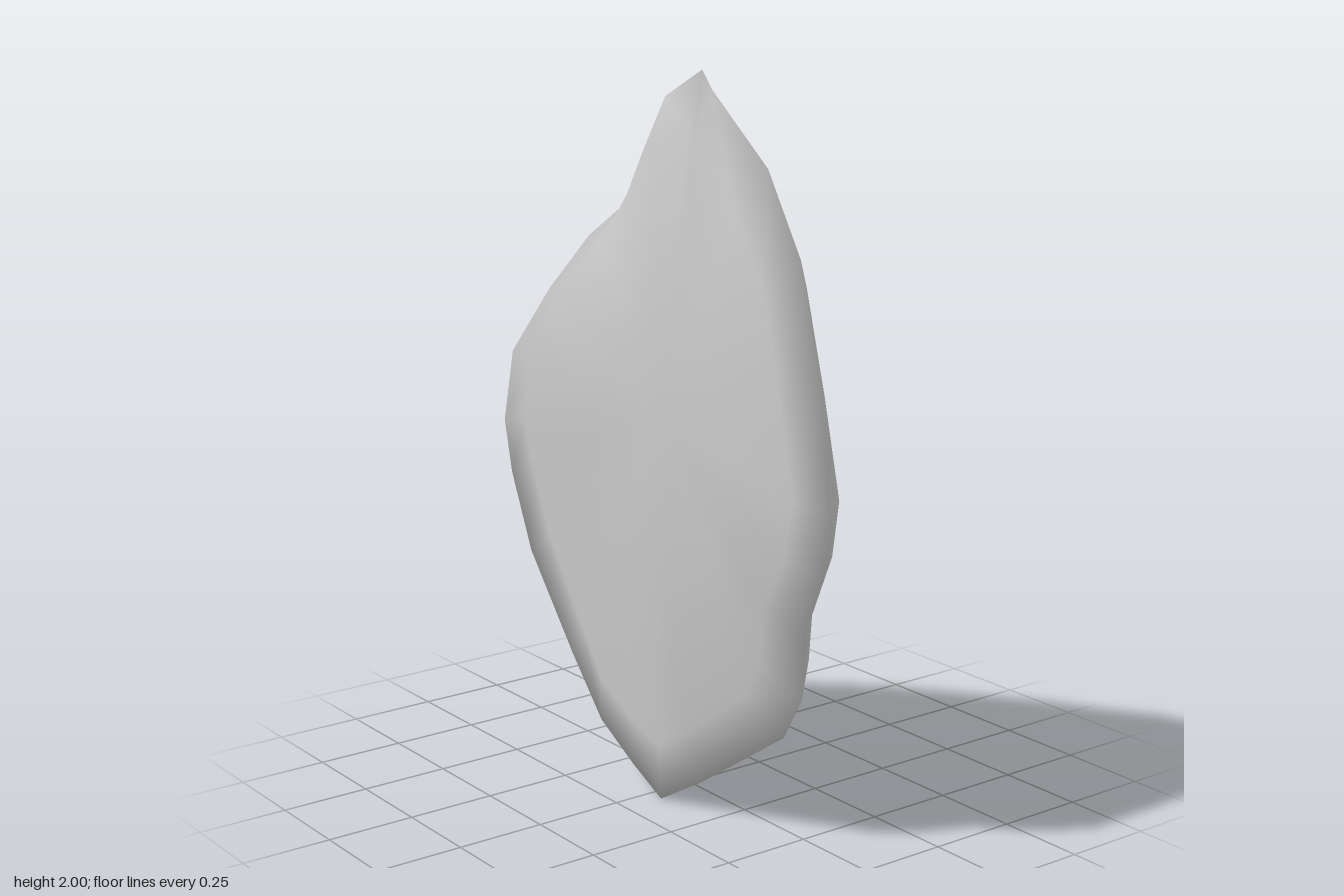
import * as THREE from 'three';

// Rim of the stone, counter-clockwise from the top: x, y, z
const rim = [
  [0.2, 2, 0.11], [0.03, 1.92, 0.1], [-0.1, 1.76, 0.08], [-0.22, 1.61, 0.05],
  [-0.35, 1.51, 0.08], [-0.52, 1.34, 0.1], [-0.67, 1.14, 0.13], [-0.705, 0.93, 0.14],
  [-0.67, 0.78, 0.14], [-0.59, 0.56, 0.13], [-0.4, 0.3, 0.12], [-0.27, 0.13, 0.11],
  [-0.1, 0.05, 0.12], [0.05, 0, 0.135], [0.2, 0.09, 0.11], [0.5, 0.3, 0.07],
  [0.56, 0.42, 0.06], [0.58, 0.6, 0.07], [0.67, 0.77, 0.09], [0.705, 0.95, 0.1],
  [0.64, 1.25, 0.08], [0.56, 1.56, 0.08], [0.43, 1.77, 0.08], [0.23, 1.95, 0.1],
];

// Depth of each inner ring by side: top, upper left, left, lower left, bottom, lower right, right, upper right
const frontInner = [0.18, 0.185, 0.185, 0.18, 0.185, 0.185, 0.185, 0.185];
const frontOuter = [0.148, 0.16, 0.16, 0.14, 0.155, 0.15, 0.15, 0.15];
const backOuter = [0.035, 0.02, 0.07, 0.05, 0.02, -0.03, -0.02, -0.005];
const backInner = [-0.07, -0.07, -0.08, -0.13, -0.155, -0.16, -0.15, -0.11];

const frontPeak = [0.14, 1.1, 0.205];
const backPeak = [0, 0.92, -0.21];

// Depth at rim point j, blended between the eight sides
function depthAt(table, j) {
  const s = (j / rim.length) * 8;
  const k = Math.floor(s);
  return THREE.MathUtils.lerp(table[k % 8], table[(k + 1) % 8], s - k);
}

// Rim drawn in towards a peak by a scale, at the depths of a table
function ring(peak, scale, table) {
  return rim.map(([x, y], j) => [
    peak[0] + (x - peak[0]) * scale,
    peak[1] + (y - peak[1]) * scale,
    depthAt(table, j),
  ]);
}

function stoneGeometry() {
  const n = rim.length;
  const rings = [
    ring(frontPeak, 0.4, frontInner),
    ring(frontPeak, 0.85, frontOuter),
    rim,
    ring(backPeak, 0.86, backOuter),
    ring(backPeak, 0.42, backInner),
  ];
  const positions = [frontPeak, ...rings.flat(), backPeak].flat();
  const last = rings.length * n + 1;
  const at = (i, j) => 1 + i * n + (j % n);
  const index = [];
  for (let j = 0; j < n; j++) {
    // Fans at both peaks, bands between the rings
    index.push(0, at(0, j), at(0, j + 1));
    for (let i = 0; i < rings.length - 1; i++) {
      index.push(at(i, j), at(i + 1, j), at(i + 1, j + 1));
      index.push(at(i, j), at(i + 1, j + 1), at(i, j + 1));
    }
    index.push(at(rings.length - 1, j), last, at(rings.length - 1, j + 1));
  }
  const geometry = new THREE.BufferGeometry();
  geometry.setAttribute('position', new THREE.Float32BufferAttribute(positions, 3));
  geometry.setIndex(index);
  geometry.computeVertexNormals();
  return geometry;
}

export function createModel() {
  const group = new THREE.Group();
  group.name = 'flatStone';
  const stone = new THREE.Mesh(
    stoneGeometry(),
    new THREE.MeshStandardMaterial({ color: 0xcccccc })
  );
  stone.name = 'stone';
  group.add(stone);
  return group;
}
